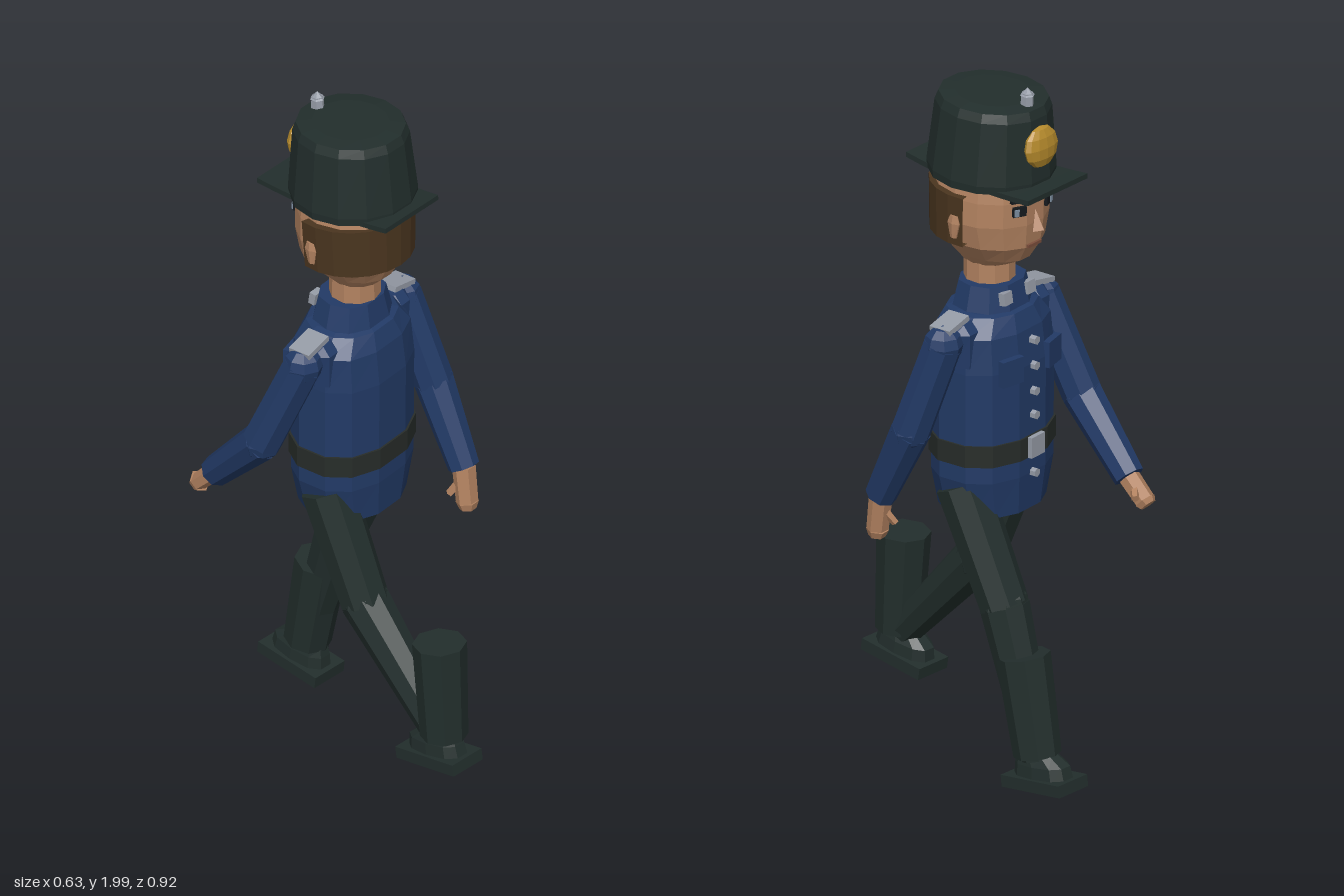
import * as THREE from 'three';

const mat = (name, color, side = THREE.FrontSide) => {
  const m = new THREE.MeshStandardMaterial({ color, flatShading: true, side });
  m.name = name;
  return m;
};

export function createModel() {
  const navy = mat('navy cloth', 0x223a66);
  const dark = mat('dark green cloth', 0x222e2c);
  const beltMat = mat('belt black', 0x272c29);
  const skin = mat('skin', 0xb28260);
  const hairMat = mat('brown hair', 0x4a351f);
  const gold = mat('gold', 0xb58a2c);
  const silver = mat('silver', 0x959ba6);
  const black = mat('black', 0x15191d);
  const eyeMat = mat('eye grey', 0x7d8ea0);
  const lip = mat('lip', 0x7c4f3c);

  const root = new THREE.Group();
  root.name = 'marchingOfficer';
  const V = (x, y, z) => new THREE.Vector3(x, y, z);

  function add(parent, name, geo, material, pos = [0, 0, 0], rot = [0, 0, 0]) {
    const mesh = new THREE.Mesh(geo, material);
    mesh.name = name;
    mesh.position.set(...pos);
    mesh.rotation.set(...rot);
    parent.add(mesh);
    return mesh;
  }
  const box = (w, h, d) => new THREE.BoxGeometry(w, h, d);

  // Closed body from elliptical rings [y, half width, half depth, z centre], bottom to top
  function loft(rings, sides, power = 1) {
    const pos = [], index = [];
    const bend = v => Math.sign(v) * Math.pow(Math.abs(v), power);
    for (const [y, hx, hz, cz = 0] of rings)
      for (let i = 0; i < sides; i++) {
        const a = ((i + 0.5) / sides) * Math.PI * 2;
        pos.push(bend(Math.sin(a)) * hx, y, bend(Math.cos(a)) * hz + cz);
      }
    for (let r = 0; r < rings.length - 1; r++)
      for (let i = 0; i < sides; i++) {
        const a = r * sides + i, b = r * sides + (i + 1) % sides;
        index.push(a, b, b + sides, a, b + sides, a + sides);
      }
    const top = (rings.length - 1) * sides;
    for (let i = 1; i < sides - 1; i++) {
      index.push(0, i + 1, i);
      index.push(top, top + i, top + i + 1);
    }
    const g = new THREE.BufferGeometry();
    g.setAttribute('position', new THREE.Float32BufferAttribute(pos, 3));
    g.setIndex(index);
    g.computeVertexNormals();
    return g;
  }

  // Eight-sided limb segment between two points
  function limb(parent, name, a, b, ra, rb, material, sides = 8) {
    const d = b.clone().sub(a);
    const mesh = add(parent, name, new THREE.CylinderGeometry(rb, ra, d.length(), sides), material);
    mesh.position.copy(a).add(b).multiplyScalar(0.5);
    mesh.quaternion.setFromUnitVectors(V(0, 1, 0), d.normalize());
    return mesh;
  }
  const joint = (parent, name, p, r, material) =>
    add(parent, name, new THREE.SphereGeometry(r, 8, 6), material, p.toArray());

  // Coat, turned slightly at the shoulders
  const torso = new THREE.Group();
  torso.name = 'torso';
  torso.position.z = -0.063;
  torso.rotation.y = 0.09;
  root.add(torso);
  add(torso, 'coat', loft([
    [0.75, 0.155, 0.13], [0.86, 0.185, 0.14], [0.94, 0.185, 0.14], [1.18, 0.186, 0.142],
    [1.28, 0.18, 0.13], [1.33, 0.135, 0.11], [1.335, 0.118, 0.095]], 12, 0.85), navy);
  add(torso, 'collar', loft([[1.32, 0.12, 0.1], [1.405, 0.098, 0.083]], 10, 0.85), navy);
  add(torso, 'belt', loft([[0.91, 0.191, 0.146], [0.972, 0.191, 0.146]], 12, 0.85), beltMat);
  add(torso, 'buckle', box(0.06, 0.06, 0.014), silver, [0, 0.942, -0.15]);
  for (const y of [1.25, 1.175, 1.1, 1.03, 0.86])
    add(torso, 'button', new THREE.CylinderGeometry(0.013, 0.013, 0.02, 6), silver,
      [0, y, -0.143], [Math.PI / 2, 0, 0]);
  for (const s of [-1, 1]) {
    add(torso, 'pocket', box(0.075, 0.075, 0.02), navy, [s * 0.092, 1.185, -0.134], [0, s * -0.2, 0]);
    add(torso, 'collarClasp', box(0.035, 0.035, 0.02), silver, [s * 0.052, 1.375, -0.085], [0.15, 0, 0]);
    add(torso, 'epaulette', box(0.09, 0.016, 0.068), silver, [s * 0.193, 1.328, 0], [0, 0, s * -0.2]);
    add(torso, 'shoulderSlope', loft([[1.2, 0.04, 0.06], [1.3, 0.05, 0.065], [1.325, 0.045, 0.04]], 8),
      navy, [s * 0.16, 0, 0]);
  }

  // Arms: [shoulder, elbow, wrist, knuckles, thumb tip]
  const arms = {
    right: [V(-0.215, 1.275, -0.045), V(-0.26, 1.0, -0.155), V(-0.247, 0.81, -0.34), V(-0.25, 0.755, -0.395), V(-0.205, 0.775, -0.4)],
    left: [V(0.22, 1.275, -0.083), V(0.258, 1.01, 0.0), V(0.253, 0.785, 0.115), V(0.25, 0.68, 0.13), V(0.222, 0.7, 0.09)],
  };
  for (const [side, [shoulder, elbow, wrist, knuckles, thumb]] of Object.entries(arms)) {
    const arm = new THREE.Group();
    arm.name = side + 'Arm';
    root.add(arm);
    joint(arm, 'shoulder', shoulder, 0.056, navy);
    limb(arm, 'upperSleeve', shoulder, elbow, 0.055, 0.056, navy);
    joint(arm, 'elbow', elbow, 0.056, navy);
    limb(arm, 'lowerSleeve', elbow, wrist, 0.056, 0.044, navy);
    const palm = limb(arm, 'hand', wrist, knuckles, 0.034, 0.032, skin, 6);
    palm.scale.z = 0.8;
    const fingertip = knuckles.clone().lerp(wrist, -0.2);
    limb(arm, 'fingers', knuckles, fingertip, 0.032, 0.024, skin, 6);
    limb(arm, 'thumb', wrist.clone().lerp(knuckles, 0.3), thumb, 0.014, 0.011, skin, 5);
  }

  // Legs: [hip, knee, ankle, boot top, boot bottom]
  const legs = {
    right: [V(-0.12, 0.83, -0.045), V(-0.1, 0.505, 0.075), V(-0.103, 0.21, 0.35), V(-0.106, 0.495, 0.355), V(-0.106, 0.205, 0.372)],
    left: [V(0.122, 0.83, -0.065), V(0.107, 0.505, -0.205), V(0.107, 0.09, -0.33), V(0.107, 0.38, -0.273), V(0.107, 0.1, -0.325)],
  };
  const soles = { right: [[-0.106, 0.135, 0.353], -0.15], left: [[0.107, 0.03, -0.35], 0.12] };
  for (const [side, [hip, knee, ankle, bootTop, bootBottom]] of Object.entries(legs)) {
    const leg = new THREE.Group();
    leg.name = side + 'Leg';
    root.add(leg);
    limb(leg, 'thigh', hip, knee, 0.076, 0.069, dark);
    joint(leg, 'knee', knee, 0.069, dark);
    limb(leg, 'shin', knee, ankle, 0.069, 0.05, dark);
    limb(leg, 'boot', bootBottom, bootTop, 0.066, 0.075, dark);
    // Shoe with the toe towards -z
    const shoe = new THREE.Group();
    shoe.name = side + 'Shoe';
    shoe.position.set(...soles[side][0]);
    shoe.rotation.x = soles[side][1];
    leg.add(shoe);
    add(shoe, 'sole', box(0.117, 0.034, 0.212), dark);
    add(shoe, 'upper', loft([[0.01, 0.05, 0.095], [0.05, 0.046, 0.088], [0.075, 0.038, 0.065, 0.015],
      [0.1, 0.036, 0.04, 0.025]], 10, 0.8), dark);
  }

  // Neck and head, nodding and turned a little
  add(root, 'neck', new THREE.CylinderGeometry(0.07, 0.072, 0.12, 10), skin, [0.002, 1.43, -0.055]);
  const head = new THREE.Group();
  head.name = 'head';
  head.position.set(0.002, 1.44, -0.05);
  head.rotation.set(-0.04, 0.035, 0);
  root.add(head);
  add(head, 'face', loft([[0.02, 0.068, 0.075], [0.05, 0.095, 0.12, -0.01], [0.1, 0.138, 0.15, -0.008],
    [0.17, 0.157, 0.164], [0.24, 0.155, 0.162], [0.3, 0.145, 0.152]], 14), skin);
  add(head, 'hair', new THREE.CylinderGeometry(0.172, 0.166, 0.145, 12, 1, false,
    THREE.MathUtils.degToRad(-103), THREE.MathUtils.degToRad(206)), hairMat, [0, 0.182, -0.003]).material.side = THREE.DoubleSide;
  for (const s of [-1, 1]) {
    add(head, 'ear', loft([[-0.033, 0.01, 0.012], [0.01, 0.014, 0.023], [0.033, 0.01, 0.015]], 6),
      skin, [s * 0.163, 0.165, -0.012]);
    add(head, 'eyebrow', box(0.055, 0.013, 0.012), black, [s * 0.06, 0.252, -0.153], [0, s * -0.4, 0]);
    add(head, 'eye', box(0.04, 0.028, 0.009), black, [s * 0.06, 0.218, -0.153], [0, s * -0.4, 0]);
    add(head, 'eyeGlint', box(0.014, 0.02, 0.006), eyeMat, [s * 0.072, 0.217, -0.154], [0, s * -0.4, 0]);
  }
  add(head, 'nose', new THREE.ConeGeometry(0.022, 0.06, 4), skin, [0, 0.18, -0.165], [0.2, 0, 0]);
  add(head, 'mouth', box(0.055, 0.009, 0.009), lip, [0, 0.105, -0.158]);

  // Tall hat with a bent brim, oval badge and finial
  const hat = new THREE.Group();
  hat.name = 'hat';
  head.add(hat);
  add(hat, 'crown', loft([[0.278, 0.17, 0.178], [0.3, 0.172, 0.18], [0.48, 0.152, 0.165],
    [0.505, 0.142, 0.156], [0.511, 0.1, 0.11]], 14), dark);
  const brim = new THREE.BoxGeometry(0.25, 0.015, 0.445, 1, 1, 8);
  const p = brim.attributes.position;
  for (let i = 0; i < p.count; i++) {
    const t = p.getZ(i) / 0.2225;
    p.setX(i, p.getX(i) * (0.94 - 0.06 * t));
    p.setY(i, p.getY(i) + 0.014 * t * t);
  }
  brim.computeVertexNormals();
  add(hat, 'brim', brim, dark, [0, 0.276, -0.013]);
  const badge = add(hat, 'badge', new THREE.SphereGeometry(0.06, 12, 6), gold, [0, 0.4, -0.172], [0.1, 0, 0]);
  badge.scale.set(1.08, 1, 0.42);
  add(hat, 'finial', new THREE.CylinderGeometry(0.017, 0.02, 0.045, 6), silver, [0, 0.52, -0.118]);
  add(hat, 'finialTip', new THREE.ConeGeometry(0.021, 0.022, 6), silver, [0, 0.547, -0.118]);

  return root;
}
